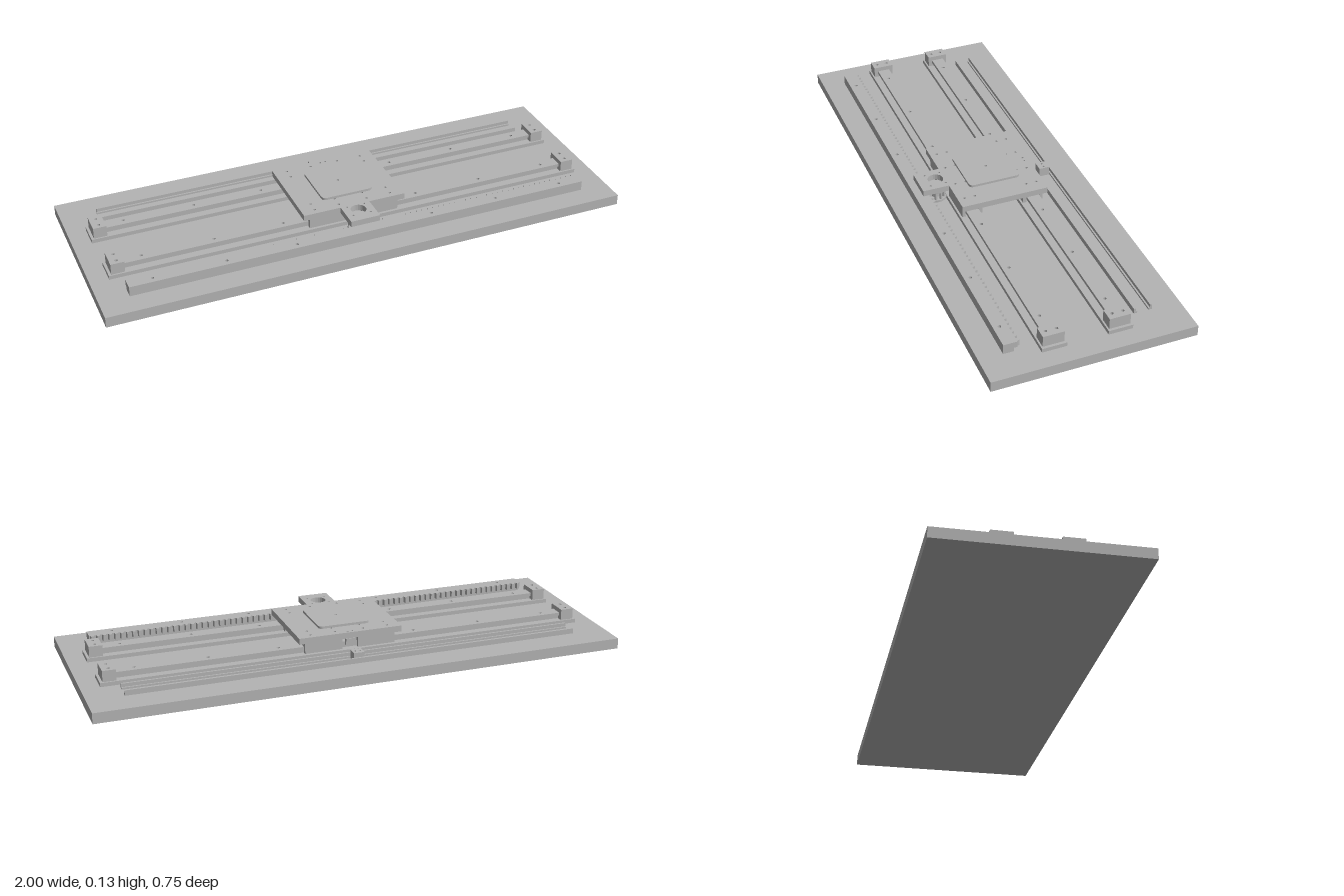
import * as THREE from 'three';

const grey = new THREE.MeshStandardMaterial({ color: 0xb4b4b4 });
grey.name = 'machined grey';

export function createModel() {
  const root = new THREE.Group();
  root.name = 'linearStage';

  function add(name, geometry) {
    const mesh = new THREE.Mesh(geometry, grey);
    mesh.name = name;
    root.add(mesh);
    return mesh;
  }

  // Box given by its limits on each axis
  function box(name, x0, x1, y0, y1, z0, z1) {
    const mesh = add(name, new THREE.BoxGeometry(x1 - x0, y1 - y0, z1 - z0));
    mesh.position.set((x0 + x1) / 2, (y0 + y1) / 2, (z0 + z1) / 2);
    return mesh;
  }

  // Horizontal plate with drilled holes [x, z, radius] and optional rounded corners
  function plate(name, x0, x1, y0, y1, z0, z1, holes = [], r = 0) {
    const s = new THREE.Shape();
    const a = -z1, b = -z0;
    s.moveTo(x0 + r, a);
    s.lineTo(x1 - r, a);
    if (r) s.quadraticCurveTo(x1, a, x1, a + r);
    s.lineTo(x1, b - r);
    if (r) s.quadraticCurveTo(x1, b, x1 - r, b);
    s.lineTo(x0 + r, b);
    if (r) s.quadraticCurveTo(x0, b, x0, b - r);
    s.lineTo(x0, a + r);
    if (r) s.quadraticCurveTo(x0, a, x0 + r, a);
    for (const [x, z, hr] of holes) {
      s.holes.push(new THREE.Path().absarc(x, -z, hr, 0, Math.PI * 2, true));
    }
    const g = new THREE.ExtrudeGeometry(s, { depth: y1 - y0, bevelEnabled: false, curveSegments: 10 });
    g.rotateX(-Math.PI / 2);
    g.translate(0, y0, 0);
    return add(name, g);
  }

  function cylinder(name, r, y0, y1, x, z, sides = 32) {
    const mesh = add(name, new THREE.CylinderGeometry(r, r, y1 - y0, sides));
    mesh.position.set(x, (y0 + y1) / 2, z);
    return mesh;
  }

  const boltX = [-0.8, -0.53, -0.265, 0.265, 0.53, 0.8];

  box('basePlate', -1, 1, 0, 0.04, -0.373, 0.373);

  // Two guide rails with bed, end stops and slider blocks
  for (const side of [-1, 1]) {
    const zc = side * 0.12;
    box('railBed', -0.93, 0.93, 0.04, 0.055, zc - 0.045, zc + 0.045);
    box('railWeb', -0.87, 0.87, 0.055, 0.07, zc - 0.016, zc + 0.016);
    plate('railHead', -0.87, 0.87, 0.068, 0.08, zc - 0.024, zc + 0.024,
      boltX.map(x => [x, zc, 0.006]));
    for (const end of [-1, 1]) {
      const ex = end * 0.895;
      plate('endStop', ex - 0.025, ex + 0.025, 0.055, 0.097, zc - 0.039, zc + 0.039,
        [[ex, zc - 0.02, 0.006], [ex, zc + 0.02, 0.006]]);
      const sx = end * 0.103;
      box('sliderTop', sx - 0.072, sx + 0.072, 0.08, 0.1, zc - 0.039, zc + 0.039);
      for (const k of [-1, 1]) {
        const sz = zc + k * 0.0325;
        box('sliderSkirt', sx - 0.072, sx + 0.072, 0.058, 0.08, sz - 0.0065, sz + 0.0065);
      }
    }
  }

  // Carriage plate with bolt holes and raised table
  const bolts = [];
  for (const x of [-0.15, -0.055, 0.055, 0.15])
    for (const z of [-0.142, -0.102, 0.102, 0.142]) bolts.push([x, z, 0.005]);
  bolts.push([-0.01, -0.153, 0.004], [0.01, -0.153, 0.004]);
  plate('carriagePlate', -0.2, 0.2, 0.1, 0.123, -0.167, 0.167, bolts);
  plate('raisedTable', -0.1, 0.1, 0.123, 0.132, -0.1, 0.1, [[0, 0, 0.005]], 0.018);

  // Drive mount projecting over the rack
  plate('driveMount', -0.057, 0.057, 0.1, 0.123, 0.167, 0.267, [
    [0, 0.2, 0.029],
    [-0.034, 0.231, 0.004], [0.034, 0.231, 0.004],
    [-0.034, 0.173, 0.004], [0.034, 0.173, 0.004]]);

  // Pinion: two flanges, a toothed core and a shaft
  cylinder('pinionLowerFlange', 0.04, 0.044, 0.053, 0, 0.2);
  cylinder('pinionUpperFlange', 0.04, 0.083, 0.09, 0, 0.2);
  cylinder('pinionHub', 0.018, 0.053, 0.083, 0, 0.2);
  cylinder('pinionShaft', 0.009, 0.09, 0.1, 0, 0.2, 20);
  for (let i = 0; i < 10; i++) {
    const a = (i / 10) * Math.PI * 2;
    cylinder('pinionPin', 0.0055, 0.053, 0.083, Math.sin(a) * 0.032, 0.2 + Math.cos(a) * 0.032, 10);
  }

  // Toothed rack
  box('rackFoot', -0.89, 0.89, 0.04, 0.055, 0.248, 0.286);
  plate('rackBody', -0.89, 0.89, 0.055, 0.078, 0.236, 0.286, boltX.map(x => [x, 0.263, 0.006]));
  const teeth = 79, pitch = 1.78 / teeth;
  const tooth = new THREE.Shape([
    new THREE.Vector2(-0.008, -0.237), new THREE.Vector2(-0.0045, -0.226),
    new THREE.Vector2(0.0045, -0.226), new THREE.Vector2(0.008, -0.237)]);
  const toothGeometry = new THREE.ExtrudeGeometry(tooth, { depth: 0.023, bevelEnabled: false });
  toothGeometry.rotateX(-Math.PI / 2);
  for (let i = 0; i < teeth; i++) {
    add('rackTooth', toothGeometry).position.set((i - (teeth - 1) / 2) * pitch, 0.055, 0);
  }

  // Encoder track: two angle strips with a reading head between them
  for (const side of [-1, 1]) {
    const z = -0.233 + side * 0.0305;
    box('trackWall', -0.865, 0.865, 0.04, 0.06, z - 0.0035, z + 0.0035);
    const fz = z - side * 0.006;
    box('trackLip', -0.865, 0.865, 0.04, 0.047, fz - 0.0035, fz + 0.0035);
  }
  plate('readingHead', -0.02, 0.02, 0.047, 0.075, -0.253, -0.213,
    [[-0.009, -0.233, 0.004], [0.009, -0.233, 0.004]]);
  box('headFoot', -0.02, 0.02, 0.04, 0.047, -0.253, -0.213);
  box('sensorFlag', -0.02, 0.02, 0.074, 0.1, -0.17, -0.158);

  return root;
}
